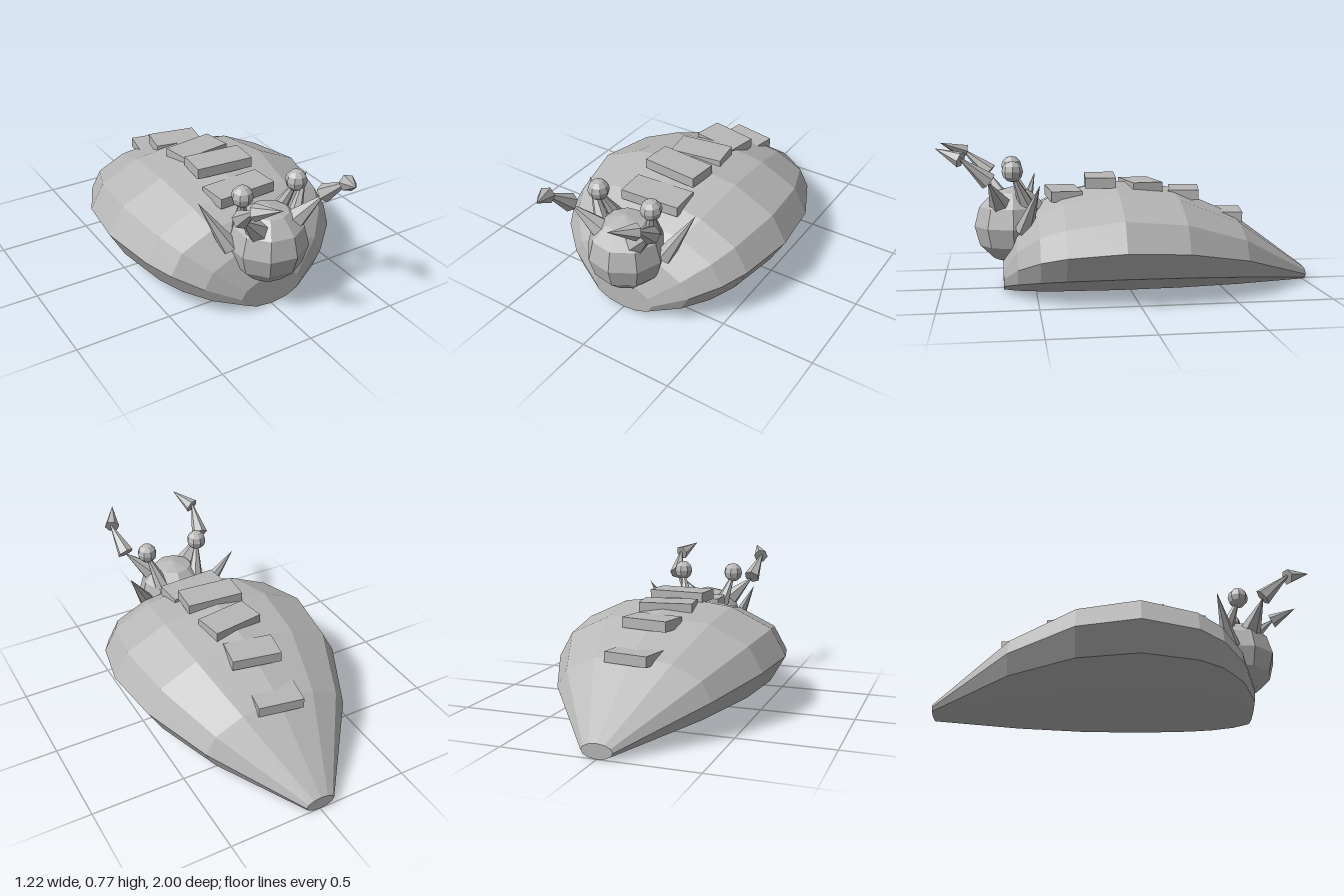
import * as THREE from 'three';

const V = (x, y, z) => new THREE.Vector3(x, y, z);

export function createModel() {
  const model = new THREE.Group();
  model.name = 'slugCreature';
  const grey = new THREE.MeshStandardMaterial({ color: 0xb8b8b8 });
  grey.name = 'clayGrey';

  // Every part is faceted: split the faces and take face normals
  function add(name, geometry, parent = model) {
    const faceted = geometry.toNonIndexed();
    faceted.computeVertexNormals();
    const mesh = new THREE.Mesh(faceted, grey);
    mesh.name = name;
    parent.add(mesh);
    return mesh;
  }

  // Tapered rod between two points
  function taper(name, from, to, r0, r1, sides, parent) {
    const dir = to.clone().sub(from);
    const mesh = add(name, new THREE.CylinderGeometry(r1, r0, dir.length(), sides), parent);
    mesh.position.copy(from).add(to).multiplyScalar(0.5);
    mesh.quaternion.setFromUnitVectors(V(0, 1, 0), dir.normalize());
  }

  // Body: twelve-sided oval rings [z, half width], all resting on the ground
  const rings = [
    [0.67, 0.18], [0.6, 0.355], [0.49, 0.48], [0.365, 0.55],
    [0.08, 0.61], [-0.24, 0.566], [-0.58, 0.41], [-1, 0.08],
  ];
  const last = rings.length - 1;
  const body = new THREE.CylinderGeometry(1, 1, 1, 12, last);
  const p = body.attributes.position;
  for (let i = 0; i < p.count; i++) {
    const [z, r] = rings[Math.round((0.5 - p.getY(i)) * last)];
    p.setXYZ(i, p.getX(i) * r, 0.47 * r * (1 - p.getZ(i)), z);
  }
  add('body', body);

  // Back plates: width, y, z, turn
  [
    [0.33, 0.51, 0.345, 0.06],
    [0.31, 0.577, 0.147, -0.08],
    [0.285, 0.548, -0.073, 0.15],
    [0.26, 0.503, -0.313, -0.19],
    [0.24, 0.378, -0.555, -0.18],
  ].forEach(([w, y, z, turn], i) => {
    const plate = add('backPlate' + (i + 1), new THREE.BoxGeometry(w, 0.055, 0.162));
    plate.position.set(0, y, z);
    plate.rotation.y = turn;
  });

  // Head
  const head = add('head', new THREE.SphereGeometry(0.205, 9, 6));
  head.position.set(0, 0.345, 0.615);
  head.rotation.y = Math.PI;

  // Eyes, horns and jointed feelers on both sides
  for (const [side, s] of [['left', 1], ['right', -1]]) {
    const group = new THREE.Group();
    group.name = side + 'HeadParts';
    model.add(group);

    const eye = add(side + 'Eye', new THREE.SphereGeometry(0.055, 8, 6), group);
    eye.position.set(s * 0.157, 0.645, 0.615);
    taper(side + 'EyeStalk', V(s * 0.1, 0.43, 0.53), V(s * 0.155, 0.62, 0.61), 0.05, 0.01, 7, group);

    taper(side + 'Horn', V(s * 0.185, 0.34, 0.56), V(s * 0.322, 0.59, 0.482), 0.05, 0, 6, group);

    taper(side + 'FeelerBase', V(s * 0.11, 0.47, 0.68), V(s * 0.235, 0.595, 0.735), 0.058, 0.004, 6, group);
    taper(side + 'FeelerMiddle', V(s * 0.24, 0.605, 0.735), V(s * 0.265, 0.73, 0.88), 0.047, 0.004, 6, group);
    taper(side + 'FeelerTip', V(s * 0.26, 0.718, 0.87), V(s * 0.2, 0.772, 1), 0.042, 0, 6, group);
  }

  return model;
}
